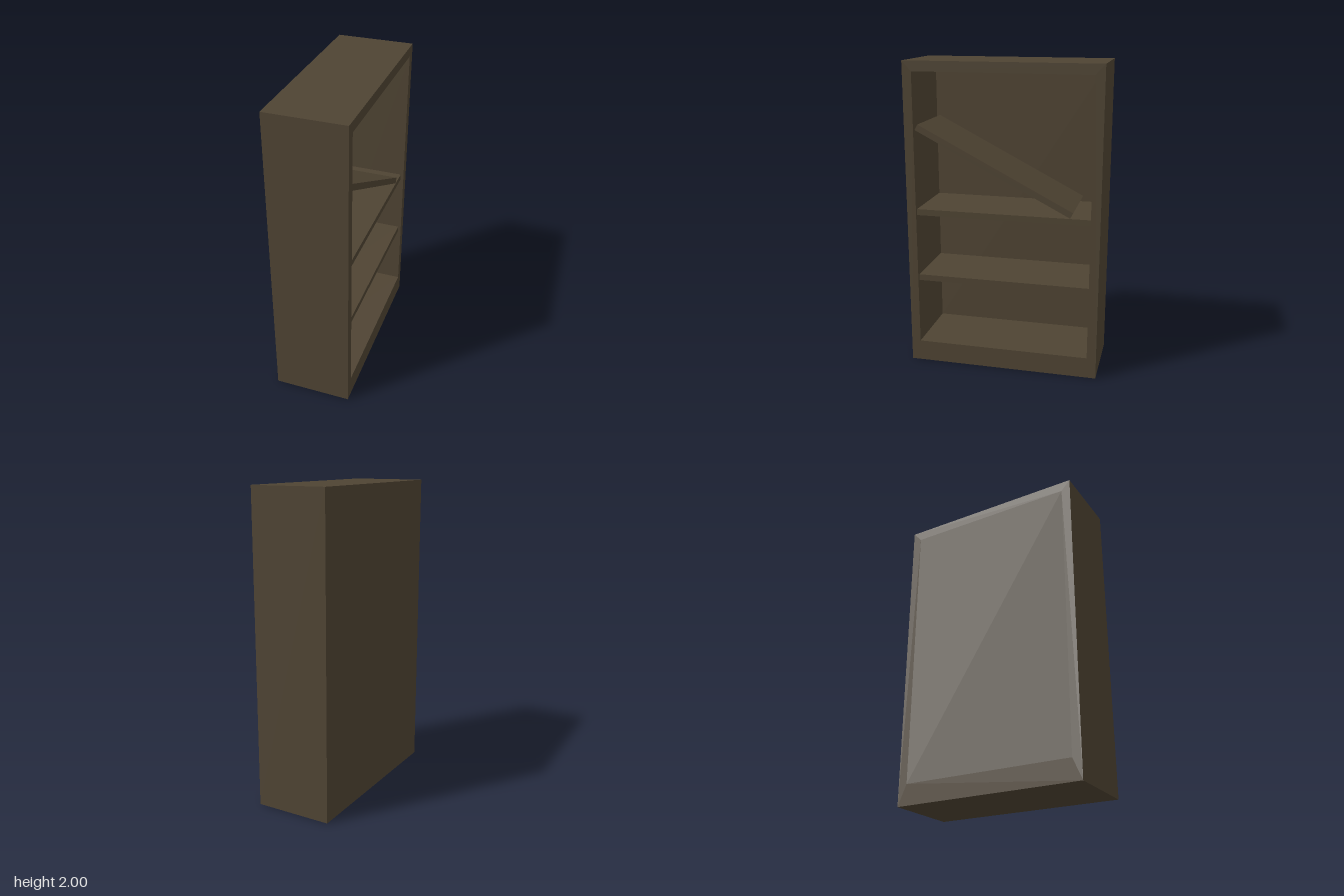
import * as THREE from 'three';

export function createModel() {
  const group = new THREE.Group();
  group.name = 'bookcase';
  const darkWood = new THREE.MeshStandardMaterial({ color: 0x4f4433 });
  darkWood.name = 'dark wood';

  const W = 1.25, H = 2, D = 0.5;            // width along z, height, depth along x
  const inner = 0.565, low = 0.137, high = 1.935;
  const backX = -0.216, shelfX = 0.23;       // inner back wall and shelf front edge

  const add = (name, geometry, x, y, z) => {
    const mesh = new THREE.Mesh(geometry, darkWood);
    mesh.name = name;
    mesh.position.set(x, y, z);
    group.add(mesh);
    return mesh;
  };

  // Outer case: a rectangular frame extruded through the depth, open to +x
  const outline = new THREE.Shape([
    new THREE.Vector2(-W / 2, 0), new THREE.Vector2(W / 2, 0),
    new THREE.Vector2(W / 2, H), new THREE.Vector2(-W / 2, H),
  ]);
  outline.holes.push(new THREE.Path([
    new THREE.Vector2(-inner, low), new THREE.Vector2(-inner, high),
    new THREE.Vector2(inner, high), new THREE.Vector2(inner, low),
  ]));
  const frame = new THREE.ExtrudeGeometry(outline, { depth: D, bevelEnabled: false });
  frame.rotateY(Math.PI / 2);
  add('caseFrame', frame, -D / 2, 0, 0);

  // Back panel closing the frame
  const backDepth = backX + D / 2;
  add('backPanel', new THREE.BoxGeometry(backDepth, high - low, inner * 2),
    -D / 2 + backDepth / 2, (low + high) / 2, 0);

  // Two level shelves
  const shelfDepth = shelfX - backX, midX = (shelfX + backX) / 2;
  [['lowerShelf', 0.588], ['middleShelf', 1.036]].forEach(([name, y]) =>
    add(name, new THREE.BoxGeometry(shelfDepth, 0.04, inner * 2), midX, y, 0));

  // Fallen top shelf, tilted down towards -z
  const fallen = add('fallenShelf', new THREE.BoxGeometry(shelfDepth, 0.04, 1.12), midX, 1.332, 0.055);
  fallen.rotation.x = -THREE.MathUtils.degToRad(27.2);

  return group;
}
